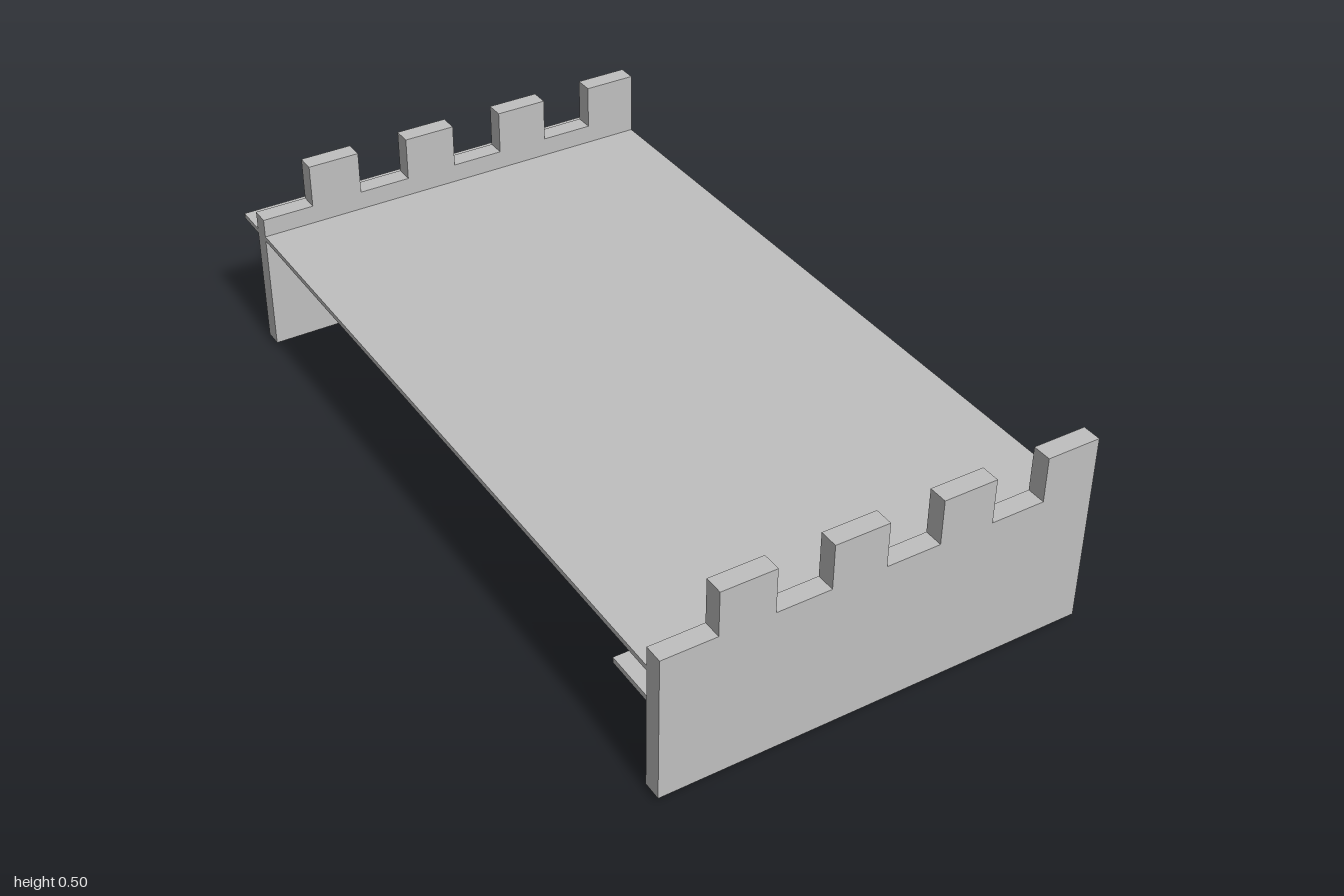
import * as THREE from 'three';

const U = 0.4 / 3; // layout module: the deck is 8 modules wide

export function createModel() {
  const model = new THREE.Group();
  const stone = new THREE.MeshStandardMaterial({ color: 0xc0c0c0 });
  stone.name = 'light grey';

  const add = (name, geometry) => {
    const mesh = new THREE.Mesh(geometry, stone);
    mesh.name = name;
    model.add(mesh);
    return mesh;
  };

  // Box given by its limits on each axis
  const slab = (name, x0, x1, y0, y1, z0, z1) =>
    add(name, new THREE.BoxGeometry(x1 - x0, y1 - y0, z1 - z0))
      .position.set((x0 + x1) / 2, (y0 + y1) / 2, (z0 + z1) / 2);

  // Crenellated wall: gap and merlon alternate from -x to +x
  const wallShape = new THREE.Shape();
  wallShape.moveTo(-4 * U, 0.015);
  wallShape.lineTo(4 * U, 0.015);
  for (let i = 4; i > -4; i -= 2) {
    wallShape.lineTo(i * U, 0.495);
    wallShape.lineTo((i - 1) * U, 0.495);
    wallShape.lineTo((i - 1) * U, 0.383);
    wallShape.lineTo((i - 2) * U, 0.383);
  }
  const wallGeometry = new THREE.ExtrudeGeometry(wallShape, { depth: 0.047, bevelEnabled: false });
  add('frontWall', wallGeometry).position.z = 0.953;
  add('backWall', wallGeometry).position.z = -0.915;

  // Deck between the walls, and the ledge continuing behind the back wall
  slab('deck', -4 * U, 4 * U, 0.322, 0.335, -0.868, 0.953);
  slab('backLedge', -4 * U, 4 * U, 0.322, 0.335, -1, -0.915);

  // Ground plates: three small ones at the front, two long ones further back
  for (const i of [-3, 0, 2]) {
    const x = i === 0 ? -1 : i === 2 ? 1 : -3;
    slab('smallGroundPlate', x * U, (x + 1) * U, 0, 0.015, 4.5 * U, 6.5 * U);
  }
  slab('longGroundPlate', -2 * U, 0, 0, 0.015, -4.5 * U, 2.5 * U);
  slab('sideGroundPlate', 2 * U, 4 * U, 0, 0.015, -5.5 * U, -1.5 * U);

  return model;
}
